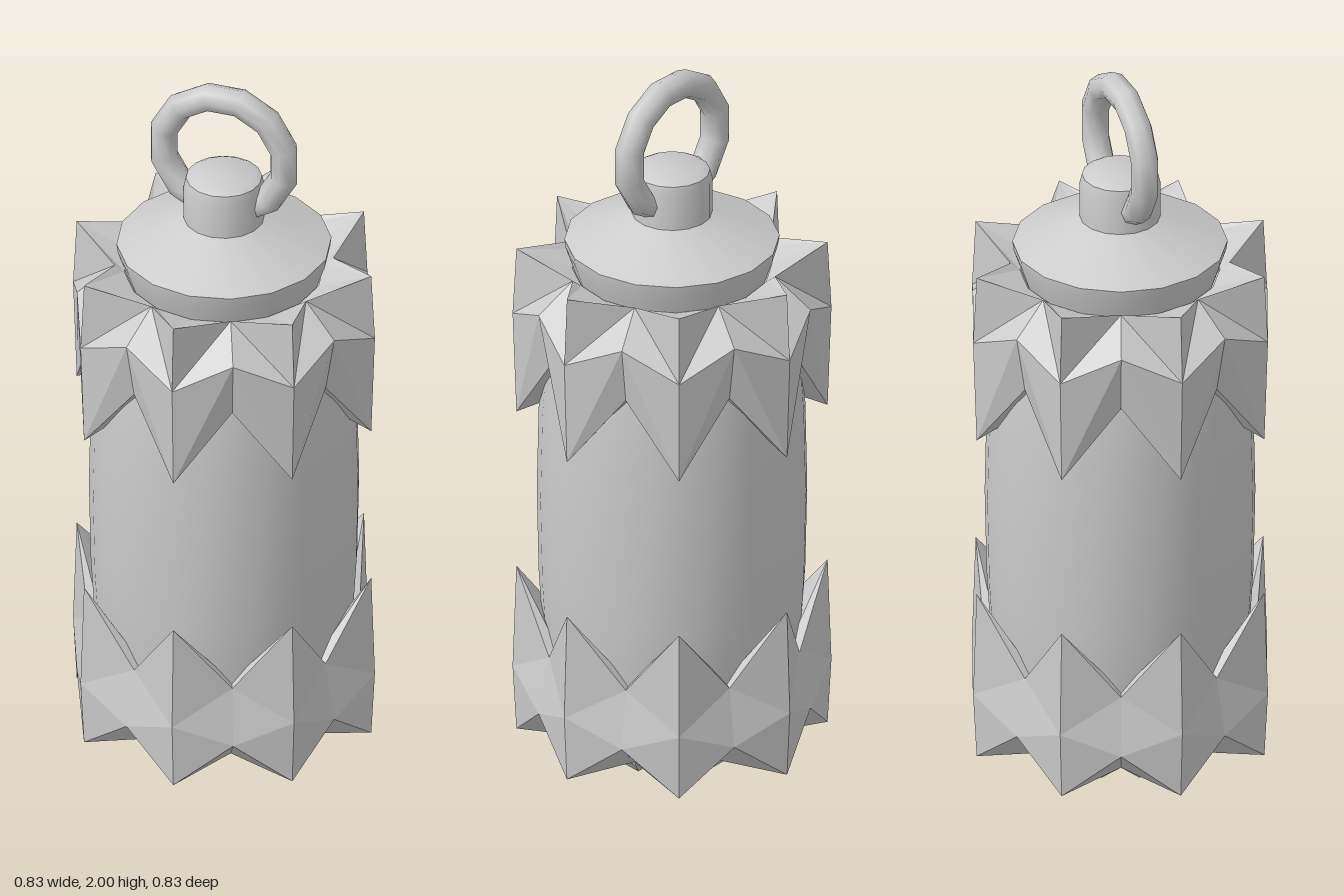
import * as THREE from 'three';
import { toCreasedNormals } from 'three/addons/utils/BufferGeometryUtils.js';

const smooth = new THREE.MeshStandardMaterial({ color: 0xcccccc });
const faceted = new THREE.MeshStandardMaterial({ color: 0xcccccc, flatShading: true, side: THREE.DoubleSide });

function add(parent, name, geometry, material) {
  const mesh = new THREE.Mesh(geometry, material);
  mesh.name = name;
  parent.add(mesh);
  return mesh;
}

function lathe(points, segments) {
  const profile = points.map(([r, y]) => new THREE.Vector2(r, y));
  return toCreasedNormals(new THREE.LatheGeometry(profile, segments), 0.6);
}

// Eight-pointed band: each ring is [ridge radius, ridge y, valley radius, valley y],
// listed from the inside, around the bottom, up the outside and back in.
function starBand(rings) {
  const positions = [];
  const corner = (i, j) => {
    const [ridgeR, ridgeY, valleyR, valleyY] = rings[i];
    const odd = j % 2;
    const a = j * Math.PI / 8;
    const r = odd ? valleyR : ridgeR;
    return [r * Math.sin(a), odd ? valleyY : ridgeY, r * Math.cos(a)];
  };
  for (let i = 0; i < rings.length - 1; i++) {
    for (let j = 0; j < 16; j++) {
      const a = corner(i, j), b = corner(i, j + 1), c = corner(i + 1, j + 1), d = corner(i + 1, j);
      // The diagonal alternates so both sides of each ridge mirror each other
      const quad = j % 2 ? [a, b, d, b, c, d] : [a, b, c, a, c, d];
      positions.push(...quad.flat());
    }
  }
  const geometry = new THREE.BufferGeometry();
  geometry.setAttribute('position', new THREE.Float32BufferAttribute(positions, 3));
  geometry.computeVertexNormals();
  return geometry;
}

export function createModel() {
  const model = new THREE.Group();
  model.name = 'spikedCapsulePendant';

  // Slightly bulging central barrel
  add(model, 'barrel', lathe([
    [0.31, 0.2], [0.335, 0.35], [0.347, 0.55], [0.352, 0.79], [0.347, 1.03], [0.335, 1.23], [0.31, 1.4],
  ], 32), smooth);

  // Upper jagged band, points hanging down
  add(model, 'upperBand', starBand([
    [0.33, 1.05, 0.32, 1.2],
    [0.405, 1.02, 0.353, 1.22],
    [0.415, 1.31, 0.383, 1.38],
    [0.405, 1.5, 0.285, 1.46],
    [0.26, 1.44, 0.26, 1.44],
  ]), faceted);

  // Lower jagged band, points upward, folding under into a toothed foot
  add(model, 'lowerBand', starBand([
    [0, 0.1, 0, 0.1],
    [0.1, 0.07, 0.1, 0.07],
    [0.13, 0, 0.12, 0.04],
    [0.22, 0.12, 0.285, 0.12],
    [0.405, 0.085, 0.285, 0.12],
    [0.415, 0.27, 0.383, 0.205],
    [0.405, 0.565, 0.353, 0.365],
    [0.33, 0.44, 0.32, 0.37],
  ]), faceted);

  // Shallow conical lid with a rounded knob
  add(model, 'lid', lathe([
    [0.25, 1.42], [0.277, 1.5], [0.28, 1.525], [0.1, 1.6], [0.105, 1.6],
    [0.105, 1.7], [0.099, 1.724], [0.08, 1.735], [0, 1.735],
  ], 16), smooth);

  // Hanging ring through the knob
  const ring = add(model, 'hangingRing', new THREE.TorusGeometry(0.17, 0.038, 8, 12), smooth);
  ring.rotation.z = Math.PI / 12;
  ring.position.y = 1.797;

  return model;
}
